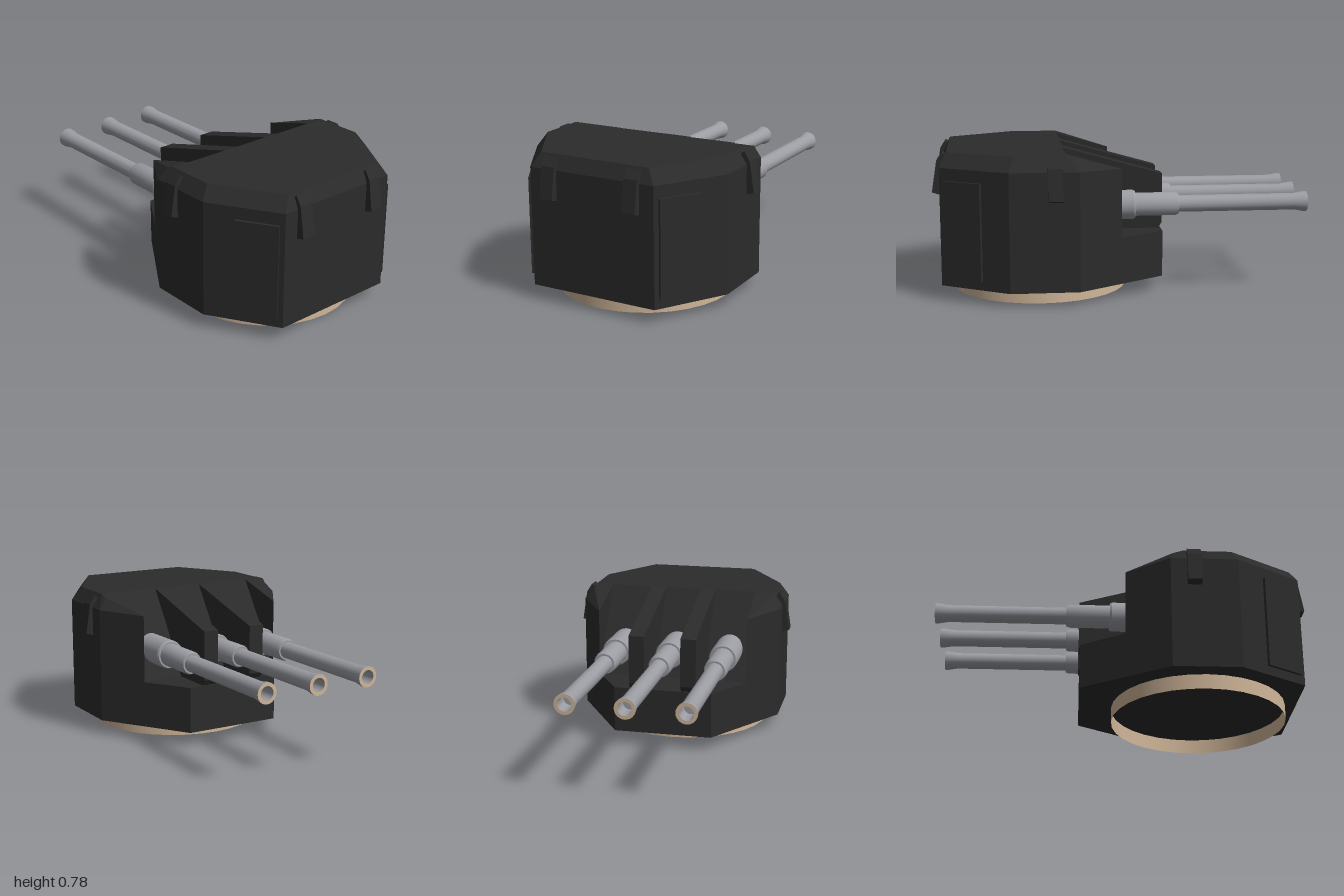
import * as THREE from 'three';
import { toCreasedNormals } from 'three/addons/utils/BufferGeometryUtils.js';
import { ConvexGeometry } from 'three/addons/geometries/ConvexGeometry.js';

const armour = new THREE.MeshStandardMaterial({ color: 0x2b2b2b });
armour.name = 'charcoalArmour';
const steel = new THREE.MeshStandardMaterial({ color: 0x9b9da3 });
steel.name = 'gunSteel';
const tan = new THREE.MeshStandardMaterial({ color: 0xd0b699, side: THREE.DoubleSide });
tan.name = 'tanMetal';

export function createModel() {
  const turret = new THREE.Group();
  turret.name = 'gunTurret';

  const add = (name, geometry, material, parent = turret) => {
    const mesh = new THREE.Mesh(geometry, material);
    mesh.name = name;
    parent.add(mesh);
    return mesh;
  };
  // Convex solid from corner points
  const hull = (pts) => new ConvexGeometry(pts.map((p) => new THREE.Vector3(...p)));
  const mirrorX = (pts) => pts.flatMap(([x, y, z]) => [[x, y, z], [-x, y, z]]);
  // Outline of [outward, height] points, extruded to a centred width
  const slab = (pts, width) => {
    const shape = new THREE.Shape(pts.map((p) => new THREE.Vector2(...p)));
    const g = new THREE.ExtrudeGeometry(shape, { depth: width, bevelEnabled: false });
    return g.translate(0, 0, -width / 2);
  };
  // Same, but with the outline running along z
  const sideSlab = (pts, width) => slab(pts, width).rotateY(-Math.PI / 2);

  const base = 0.08, floor = 0.33, eave = 0.705, roof = 0.78, slotZ = 0.31;

  // Rear armoured house with chamfered roof edge
  const rearPlan = [[0.355, 0.955], [0.57, 0.6], [0.57, slotZ]];
  const roofPlan = [[0.31, 0.92], [0.52, 0.57], [0.52, slotZ]];
  add('rearHouse', hull(mirrorX([
    ...rearPlan.flatMap(([x, z]) => [[x, base, z], [x, eave, z]]),
    ...roofPlan.map(([x, z]) => [x, roof, z]),
  ])), armour);

  // Lower front block that forms the gun slot floors
  const frontPlan = [[0.57, slotZ], [0.57, 0.24], [0.27, -0.225]];
  add('lowerFront', hull(mirrorX(
    frontPlan.flatMap(([x, z]) => [[x, base, z], [x, floor, z]]),
  )), armour);

  // Sloping back wall of the slots
  add('slotBack', sideSlab(
    [[slotZ, floor], [0.02, floor], [0.16, 0.56], [slotZ, roof]], 0.84), armour);

  for (const s of [-1, 1]) {
    const side = s > 0 ? 'left' : 'right';

    // Outer cheek beside the outer slot
    const cheekPlan = [[0.42, 0.01], [0.42, slotZ], [0.57, slotZ], [0.57, 0.24]];
    const cheek = [
      ...cheekPlan.flatMap(([x, z]) => [[x, floor, z], [x, z < 0.1 ? 0.695 : eave, z]]),
      [0.42, roof, slotZ], [0.52, roof, slotZ], [0.52, 0.765, 0.26],
    ];
    add(side + 'Cheek', hull(cheek.map(([x, y, z]) => [x * s, y, z])), armour);

    // Dividing fin between two guns
    const fin = add(side + 'Fin', sideSlab([[slotZ, floor - 0.02], [-0.2, floor - 0.02],
      [-0.232, 0.36], [-0.232, 0.628], [slotZ, roof]], 0.085), armour);
    fin.position.x = s * 0.143;

    // Door plate on the rear diagonal wall
    const door = add(side + 'Door', new THREE.BoxGeometry(0.225, 0.51, 0.03), armour);
    door.position.set(s * 0.428, 0.385, 0.836);
    door.rotation.y = s * Math.atan2(0.35, 0.215);

    // Hooded brackets on the side and rear walls
    const bracket = [[-0.05, 0.55], [0, 0.55], [0.041, 0.562],
      [0.015, 0.725], [-0.015, 0.772], [-0.05, 0.75]];
    const sideBracket = add(side + 'SideBracket', slab(bracket, 0.075), armour);
    sideBracket.position.set(s * 0.57, 0, 0.365);
    if (s < 0) sideBracket.rotation.y = Math.PI;
    const rearBracket = add(side + 'RearBracket', sideSlab(bracket, 0.075), armour);
    rearBracket.position.set(s * 0.238, 0, 0.957);
  }

  // Guns: each runs along -z, profile points are [radius, distance forward]
  const lathe = (pts) => toCreasedNormals(
    new THREE.LatheGeometry(pts.map((p) => new THREE.Vector2(...p)), 24), 0.5,
  ).rotateX(-Math.PI / 2);
  const barrel = lathe([[0.078, -0.2], [0.078, 0.06], [0.072, 0.07], [0.062, 0.07],
    [0.062, 0.285], [0.055, 0.302], [0.045, 0.302], [0.045, 0.93], [0.054, 0.985], [0.054, 1]]);
  const bore = lathe([[0.036, 1], [0.036, 0.9], [0, 0.9]]);
  const rim = new THREE.RingGeometry(0.036, 0.054, 24).rotateY(Math.PI).translate(0, 0, -1);
  ['right', 'middle', 'left'].forEach((label, i) => {
    const gun = new THREE.Group();
    gun.name = label + 'Gun';
    gun.position.set((i - 1) * 0.302, 0.484, 0);
    add('barrel', barrel, steel, gun);
    add('bore', bore, steel, gun);
    add('muzzleRim', rim, tan, gun);
    turret.add(gun);
  });

  // Open turning ring under the house
  const ring = add('turningRing',
    new THREE.CylinderGeometry(0.476, 0.476, base, 32, 1, true), tan);
  ring.position.set(0, base / 2, 0.427);

  return turret;
}
